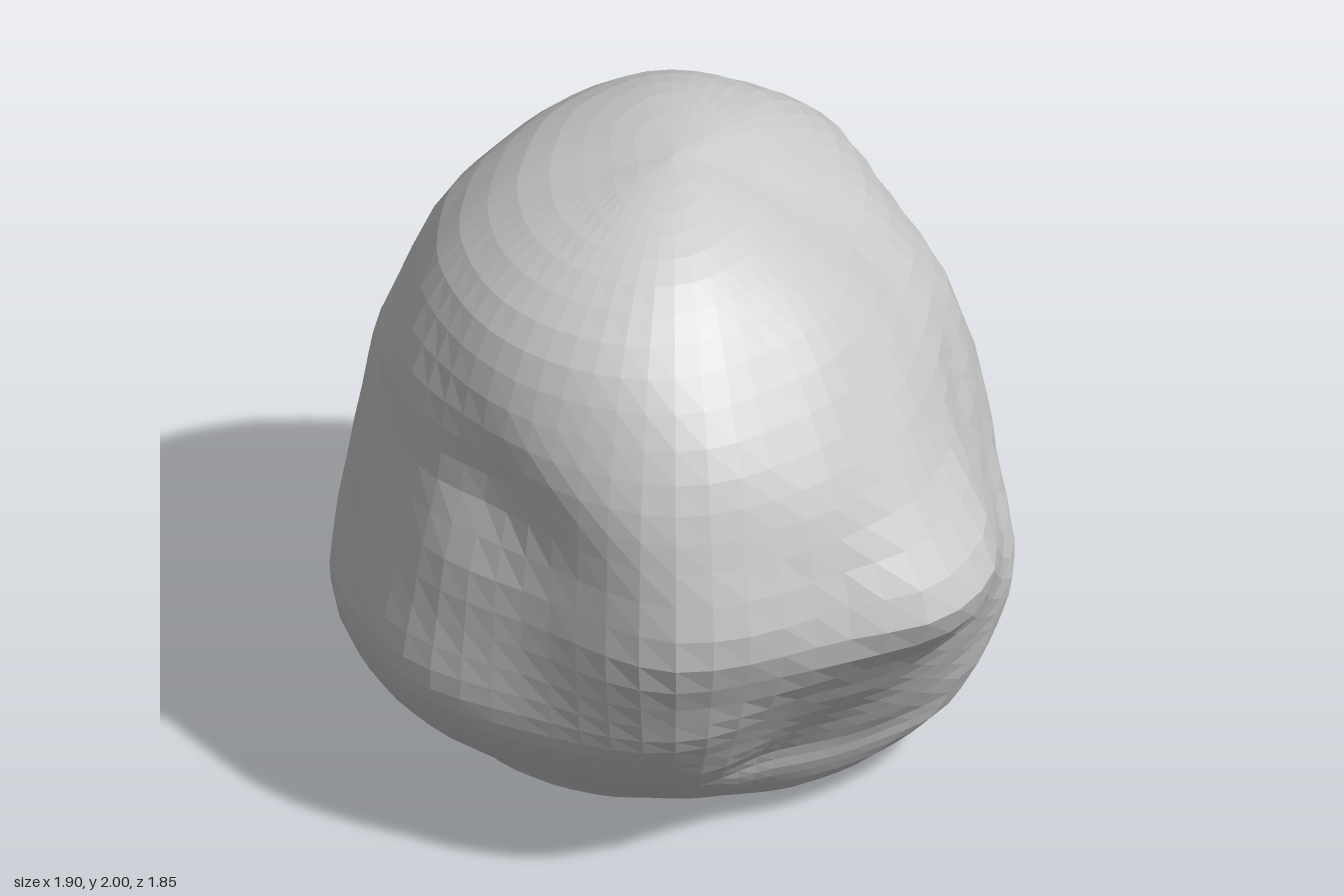
import * as THREE from 'three';

// Horizontal sections: height, then radii every 30 degrees from +x towards +z
const SECTIONS = [
  [0.08, 0.43, 0.34, 0.26, 0.24, 0.28, 0.40, 0.52, 0.40, 0.27, 0.22, 0.27, 0.40],
  [0.20, 0.71, 0.54, 0.43, 0.46, 0.48, 0.56, 0.66, 0.60, 0.50, 0.45, 0.55, 0.72],
  [0.32, 0.85, 0.66, 0.54, 0.63, 0.65, 0.73, 0.80, 0.77, 0.67, 0.68, 0.83, 0.88],
  [0.48, 0.91, 0.76, 0.66, 0.75, 0.77, 0.85, 0.91, 0.88, 0.78, 0.80, 0.88, 0.95],
  [0.65, 0.93, 0.86, 0.78, 0.84, 0.81, 0.89, 0.95, 0.91, 0.89, 0.84, 0.89, 0.99],
  [0.90, 0.88, 0.98, 0.91, 0.92, 0.80, 0.85, 0.90, 0.92, 0.95, 0.88, 0.88, 0.97],
  [1.20, 0.79, 0.84, 0.86, 0.90, 0.79, 0.79, 0.85, 0.89, 0.91, 0.88, 0.88, 0.91],
  [1.45, 0.70, 0.71, 0.76, 0.83, 0.77, 0.76, 0.78, 0.81, 0.85, 0.85, 0.86, 0.81],
  [1.70, 0.50, 0.54, 0.59, 0.67, 0.67, 0.66, 0.65, 0.68, 0.73, 0.77, 0.78, 0.62],
  [1.88, 0.29, 0.32, 0.39, 0.47, 0.47, 0.45, 0.43, 0.46, 0.54, 0.61, 0.54, 0.37],
  [1.97, 0.11, 0.13, 0.17, 0.24, 0.24, 0.19, 0.16, 0.20, 0.28, 0.36, 0.26, 0.15],
];

// Local bulges and hollows: x, y, z, amount, width
const DENTS = [
  [0.74, 0.87, 0.68, 0.05, 0.18],
  [0.00, 0.95, 0.92, 0.02, 0.15],
  [-0.52, 1.25, 0.55, -0.05, 0.18],
  [-0.25, 0.45, -0.72, -0.03, 0.18],
  [-0.23, 1.00, -0.90, 0.03, 0.20],
];

const COLUMNS = 56;
const STEPS = 3;

function catmull(a, b, c, d, t) {
  return b + 0.5 * t * (c - a + t * (2 * a - 5 * b + 4 * c - d + t * (3 * (b - c) + d - a)));
}

// Smooth radius around one section
function radiusAt(section, angle) {
  const f = (angle / (2 * Math.PI)) * 12;
  const i = Math.floor(f);
  const r = (k) => section[1 + ((i + k + 12) % 12)];
  return catmull(r(-1), r(0), r(1), r(2), f - i);
}

function rockPoint(rows, row, t, angle) {
  const pick = (k) => rows[Math.min(rows.length - 1, Math.max(0, row + k))];
  const blend = (get) => catmull(get(pick(-1)), get(pick(0)), get(pick(1)), get(pick(2)), t);
  const y = THREE.MathUtils.clamp(blend((s) => s[0]), 0, 2);
  const r = Math.max(0, blend((s) => radiusAt(s, angle)));
  const lean = Math.max(0, 1 - y / 0.3); // the foot sits off centre
  const x = r * Math.cos(angle), z = r * Math.sin(angle);
  let push = 0.008 * Math.sin(9 * x + 4 * y) * Math.sin(8 * y - 5 * z) + 0.005 * Math.sin(17 * z + 13 * y - 6 * x);
  for (const [dx, dy, dz, amount, width] of DENTS) {
    const d2 = (x - dx) ** 2 + (y - dy) ** 2 + (z - dz) ** 2;
    push += amount * Math.exp(-d2 / (width * width));
  }
  const k = 1 + push * Math.min(1, r * 2);
  return [x * k + 0.1 * lean, y, z * k + 0.12 * lean];
}

function rockGeometry() {
  const pole = (y) => [y, ...new Array(12).fill(0)];
  const rows = [pole(0), ...SECTIONS, pole(2)];
  const rings = (rows.length - 1) * STEPS;
  const positions = [], index = [];
  for (let j = 0; j <= rings; j++) {
    const row = Math.min(Math.floor(j / STEPS), rows.length - 2);
    for (let i = 0; i < COLUMNS; i++) {
      positions.push(...rockPoint(rows, row, j / STEPS - row, (i / COLUMNS) * 2 * Math.PI));
    }
  }
  for (let j = 0; j < rings; j++) {
    for (let i = 0; i < COLUMNS; i++) {
      const a = j * COLUMNS + i, b = j * COLUMNS + ((i + 1) % COLUMNS);
      const c = a + COLUMNS, d = b + COLUMNS;
      if (j < rings - 1) index.push(a, c, d);
      if (j > 0) index.push(a, d, b);
    }
  }
  const geometry = new THREE.BufferGeometry();
  geometry.setAttribute('position', new THREE.Float32BufferAttribute(positions, 3));
  geometry.setIndex(index);
  geometry.computeVertexNormals();
  return geometry;
}

export function createModel() {
  const group = new THREE.Group();
  group.name = 'boulder';
  const rock = new THREE.Mesh(
    rockGeometry(),
    new THREE.MeshStandardMaterial({ color: 0xcccccc, flatShading: true })
  );
  rock.name = 'rock';
  group.add(rock);
  return group;
}
